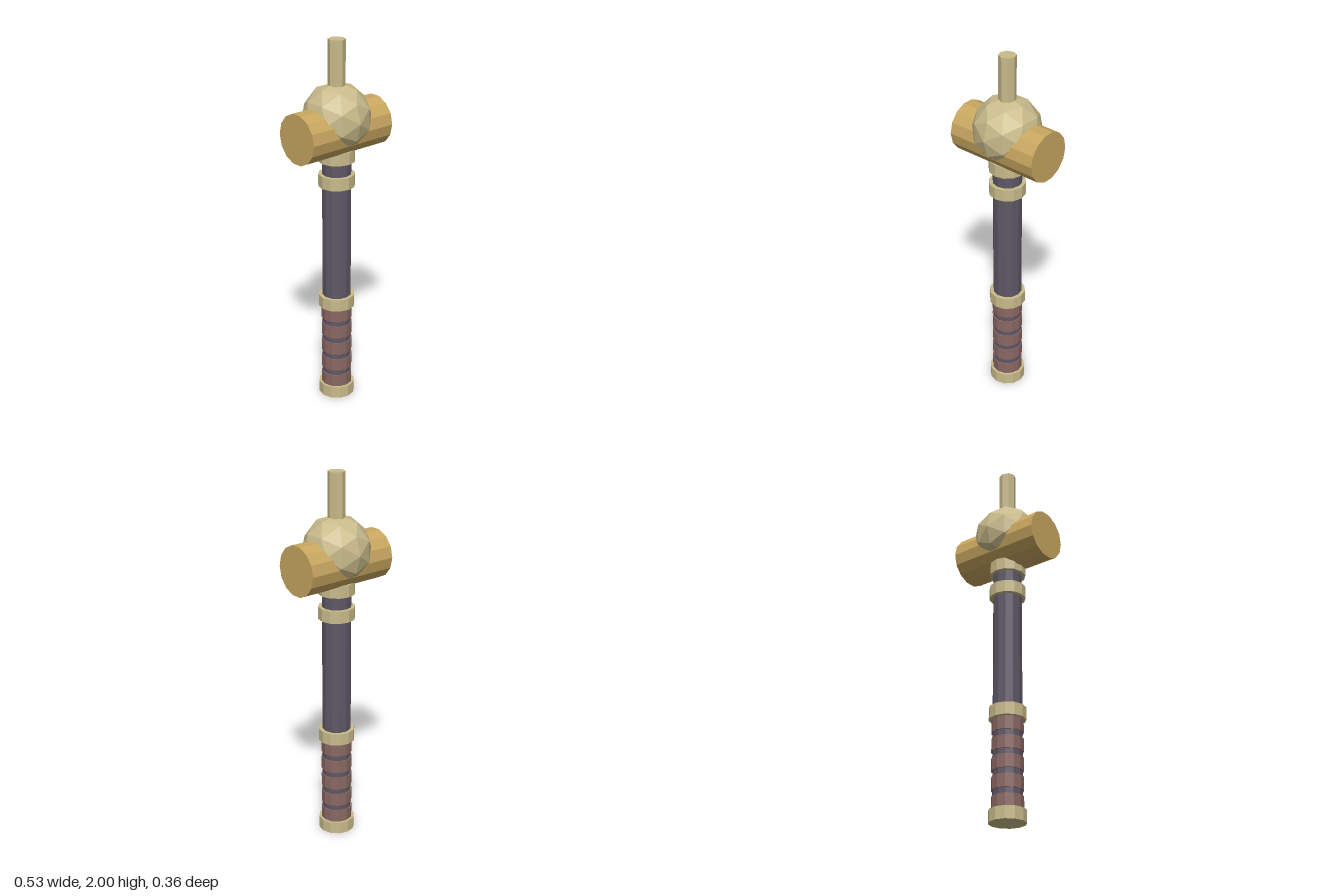
import * as THREE from 'three';

const material = (name, color) => {
  const m = new THREE.MeshStandardMaterial({ color, flatShading: true });
  m.name = name;
  return m;
};

export function createModel() {
  const gold = material('gold', 0xc9a760);
  const brass = material('pale brass', 0xc9bb8b);
  const iron = material('dark iron', 0x5f5866);
  const leather = material('leather', 0x8a6862);

  const model = new THREE.Group();
  model.name = 'hammer';

  const add = (name, geometry, mat, y) => {
    const mesh = new THREE.Mesh(geometry, mat);
    mesh.name = name;
    mesh.position.y = y;
    model.add(mesh);
    return mesh;
  };
  // Upright cylinder between two heights
  const post = (name, r, y0, y1, sides, mat) =>
    add(name, new THREE.CylinderGeometry(r, r, y1 - y0, sides), mat, (y0 + y1) / 2);

  // Handle
  post('shaft', 0.077, 0.02, 1.42, 12, iron);
  for (let i = 0; i < 5; i++) {
    const y = 0.064 + i * 0.1005;
    post('gripWrap' + (i + 1), 0.083, y, y + 0.07, 12, leather);
  }
  post('pommel', 0.097, 0, 0.066, 12, brass);
  [0.538, 1.23, 1.366].forEach((y, i) => post('collar' + (i + 1), 0.097, y, y + 0.066, 12, brass));

  // Head: crossbar, faceted ball and top spike
  const bar = add('hammerHead', new THREE.CylinderGeometry(0.133, 0.133, 0.526, 14), gold, 1.533);
  bar.rotation.z = Math.PI / 2;
  add('ball', new THREE.IcosahedronGeometry(0.18, 1), brass, 1.6);
  post('topRod', 0.045, 1.7, 2, 8, brass);

  return model;
}
